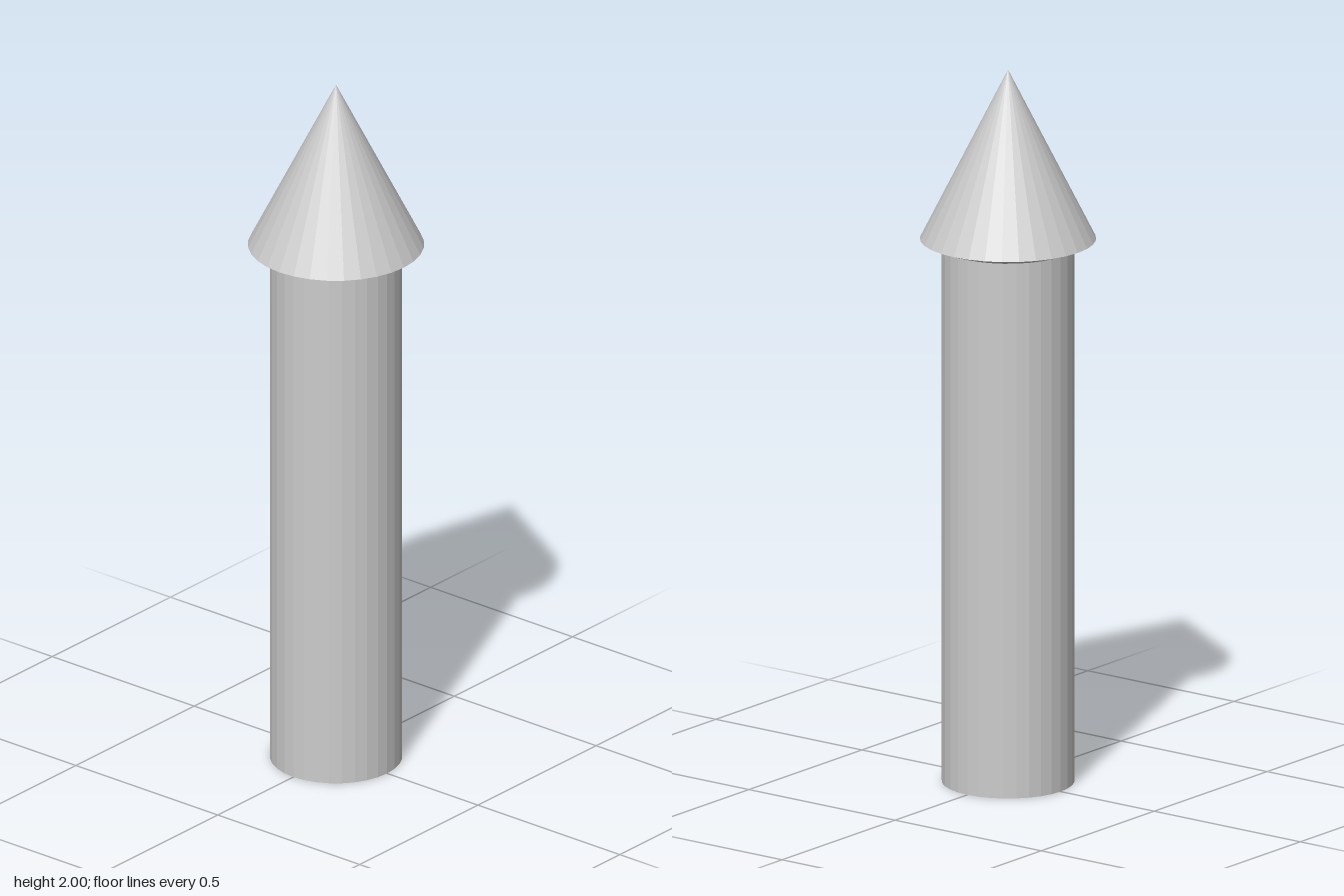
import * as THREE from 'three';

const SIDES = 32;

export function createModel() {
  const group = new THREE.Group();
  const material = new THREE.MeshStandardMaterial({ color: 0xcccccc, flatShading: true });

  // Revolves a bottom-to-top [radius, height] profile around the y axis
  const addTurned = (name, profile) => {
    const points = profile.map(([r, y]) => new THREE.Vector2(r, y));
    const mesh = new THREE.Mesh(new THREE.LatheGeometry(points, SIDES), material);
    mesh.name = name;
    group.add(mesh);
  };

  // Straight post with a closed base
  addTurned('shaft', [[0, 0], [0.18, 0], [0.18, 1.504]]);

  // Pointed cap with a sloping underside that meets the shaft
  addTurned('pointedHead', [[0.18, 1.504], [0.239, 1.525], [0, 2]]);

  return group;
}
